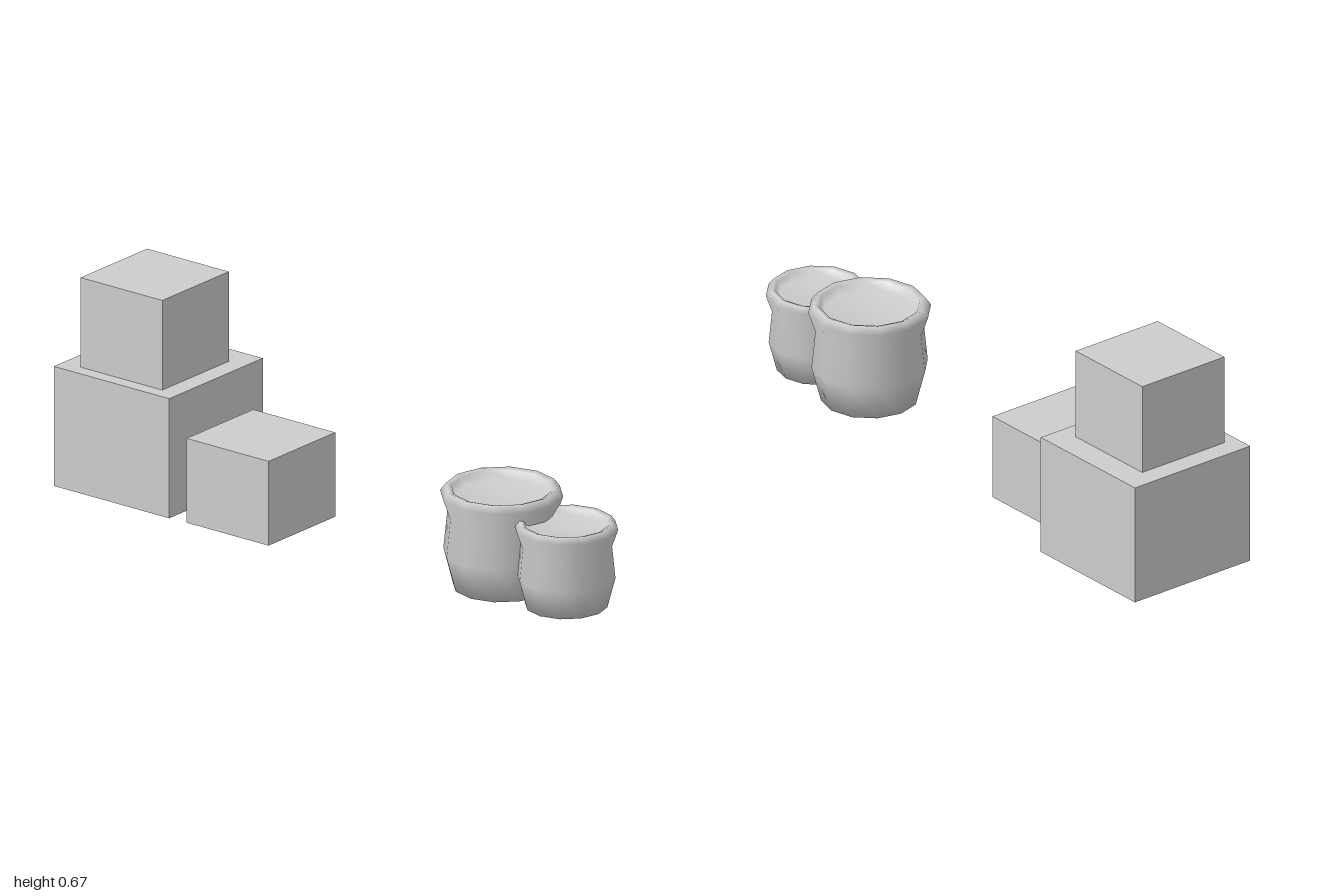
import * as THREE from 'three';

export function createModel() {
  const model = new THREE.Group();
  const grey = new THREE.MeshStandardMaterial({ color: 0xcccccc });
  grey.name = 'grey';

  // Crates: [name, x range, y range, z range]
  const crates = [
    ['largeCrate', [-1, -0.555], [0, 0.383], [-0.23, 0.218]],
    ['topCrate', [-0.933, -0.618], [0.383, 0.67], [-0.146, 0.173]],
    ['smallCrate', [-0.491, -0.175], [0, 0.27], [-0.105, 0.215]],
  ];
  for (const [name, ...ranges] of crates) {
    const size = ranges.map(([a, b]) => b - a);
    const crate = new THREE.Mesh(new THREE.BoxGeometry(...size), grey);
    crate.position.set(...ranges.map(([a, b]) => (a + b) / 2));
    crate.name = name;
    model.add(crate);
  }

  // Jars: one closed smooth profile with a rolled rim and a sunken top
  const profile = [
    [0, 0], [0.148, 0], [0.177, 0.112], [0.165, 0.232], [0.187, 0.295],
    [0.17, 0.318], [0.153, 0.312], [0.14, 0.288], [0, 0.284],
  ].map(([r, y]) => new THREE.Vector2(r, y));
  const jarGeometry = new THREE.LatheGeometry(profile, 12);

  const addJar = (name, x, z, scale) => {
    const jar = new THREE.Mesh(jarGeometry, grey);
    jar.name = name;
    jar.position.set(x, 0, z);
    jar.scale.setScalar(scale);
    model.add(jar);
  };
  addJar('largeJar', 0.585, 0.043, 1);
  addJar('smallJar', 0.842, 0.053, 0.845);

  return model;
}
